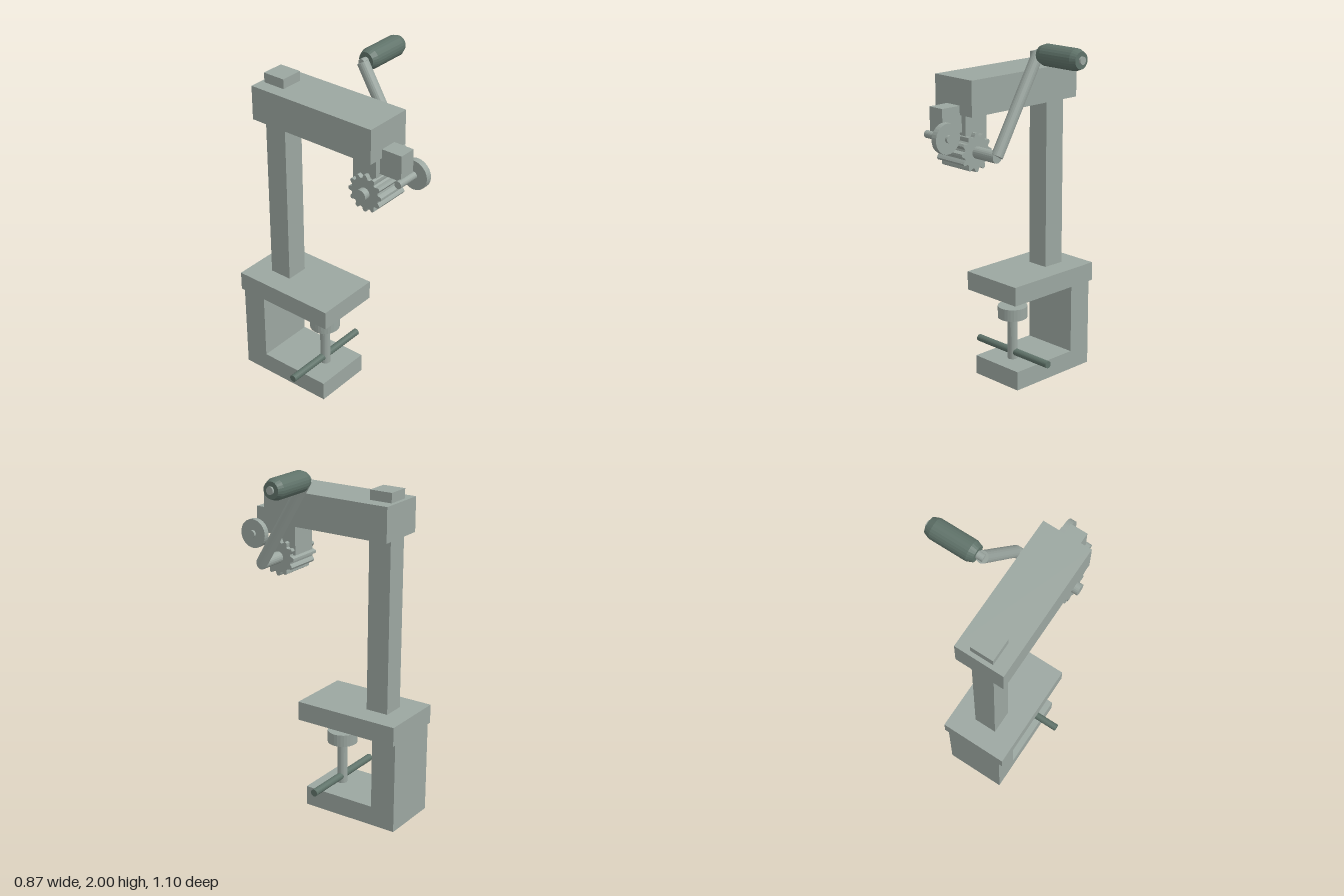
import * as THREE from 'three';

export function createModel() {
  const model = new THREE.Group();
  const metal = new THREE.MeshStandardMaterial({ color: 0x9ba6a0, flatShading: true });
  metal.name = 'grey green metal';
  const grip = new THREE.MeshStandardMaterial({ color: 0x5f7269, flatShading: true });
  grip.name = 'dark green grip';

  const add = (name, geometry, material = metal) => {
    const mesh = new THREE.Mesh(geometry, material);
    mesh.name = name;
    model.add(mesh);
    return mesh;
  };
  // box given by its extents on each axis
  const box = (name, [x0, x1], [y0, y1], [z0, z1]) =>
    add(name, new THREE.BoxGeometry(x1 - x0, y1 - y0, z1 - z0))
      .position.set((x0 + x1) / 2, (y0 + y1) / 2, (z0 + z1) / 2);
  // turned part between two points; profile lists [radius, fraction of length]
  const turned = (name, from, to, profile, material = metal, sides = 20) => {
    const a = new THREE.Vector3(...from);
    const dir = new THREE.Vector3(...to).sub(a);
    const length = dir.length();
    const points = profile.map(([r, t]) => new THREE.Vector2(r, t * length));
    const mesh = add(name, new THREE.LatheGeometry(points, sides), material);
    mesh.position.copy(a);
    mesh.quaternion.setFromUnitVectors(new THREE.Vector3(0, 1, 0), dir.normalize());
  };
  const rod = (name, from, to, r, material, sides) =>
    turned(name, from, to, [[0, 0], [r, 0], [r, 1], [0, 1]], material, sides);

  const cx = -0.151;

  // table clamp
  box('clampTop', [-0.346, 0.046], [0.53, 0.64], [-0.55, 0.08]);
  box('clampBack', [-0.324, 0.022], [0.113, 0.53], [-0.548, -0.4]);
  box('clampBase', [-0.324, 0.022], [0, 0.113], [-0.548, 0.04]);
  rod('clampScrew', [cx, 0.113, -0.09], [cx, 0.37, -0.09], 0.029);
  rod('clampPad', [cx, 0.37, -0.09], [cx, 0.44, -0.09], 0.086, metal, 28);
  rod('clampBar', [-0.437, 0.155, -0.092], [0.137, 0.155, -0.092], 0.021, grip);

  // post and arm
  box('post', [-0.217, -0.085], [0.64, 1.885], [-0.427, -0.293]);
  box('arm', [-0.292, -0.006], [1.635, 1.83], [-0.45, 0.343]);
  box('gearBracket', [-0.23, -0.07], [1.45, 1.635], [0.18, 0.33]);
  box('wheelBracket', [-0.2, -0.1], [1.54, 1.685], [0.33, 0.465]);

  // drive gear with rounded teeth
  const teeth = 12, steps = 8;
  const outline = [];
  for (let i = 0; i < teeth * steps; i++) {
    const angle = (i / (teeth * steps)) * Math.PI * 2;
    const wave = Math.cos(angle * teeth);
    const r = 0.096 + 0.01 * THREE.MathUtils.clamp(wave * 1.5, -1, 1);
    outline.push(new THREE.Vector2(Math.cos(angle) * r, Math.sin(angle) * r));
  }
  const gear = add('driveGear', new THREE.ExtrudeGeometry(new THREE.Shape(outline), { depth: 0.214, bevelEnabled: false }));
  gear.rotation.y = Math.PI / 2;
  gear.position.set(-0.256, 1.431, 0.278);

  // cutting wheel
  rod('cuttingWheel', [-0.093, 1.533, 0.464], [-0.058, 1.533, 0.464], 0.083, metal, 32);
  rod('wheelPin', [-0.226, 1.533, 0.464], [-0.042, 1.533, 0.464], 0.021);

  // crank
  rod('crankShaft', [-0.292, 1.432, 0.276], [0.114, 1.432, 0.276], 0.033);
  rod('crankArm', [0.11, 1.435, 0.275], [0.11, 1.944, -0.028], 0.033);
  rod('handlePin', [0.098, 1.942, -0.028], [0.432, 1.942, -0.028], 0.021);
  turned('handleGrip', [0.137, 1.942, -0.028], [0.42, 1.942, -0.028],
    [[0, 0], [0.046, 0], [0.059, 0.12], [0.059, 0.88], [0.046, 1], [0, 1]], grip, 24);

  return model;
}
